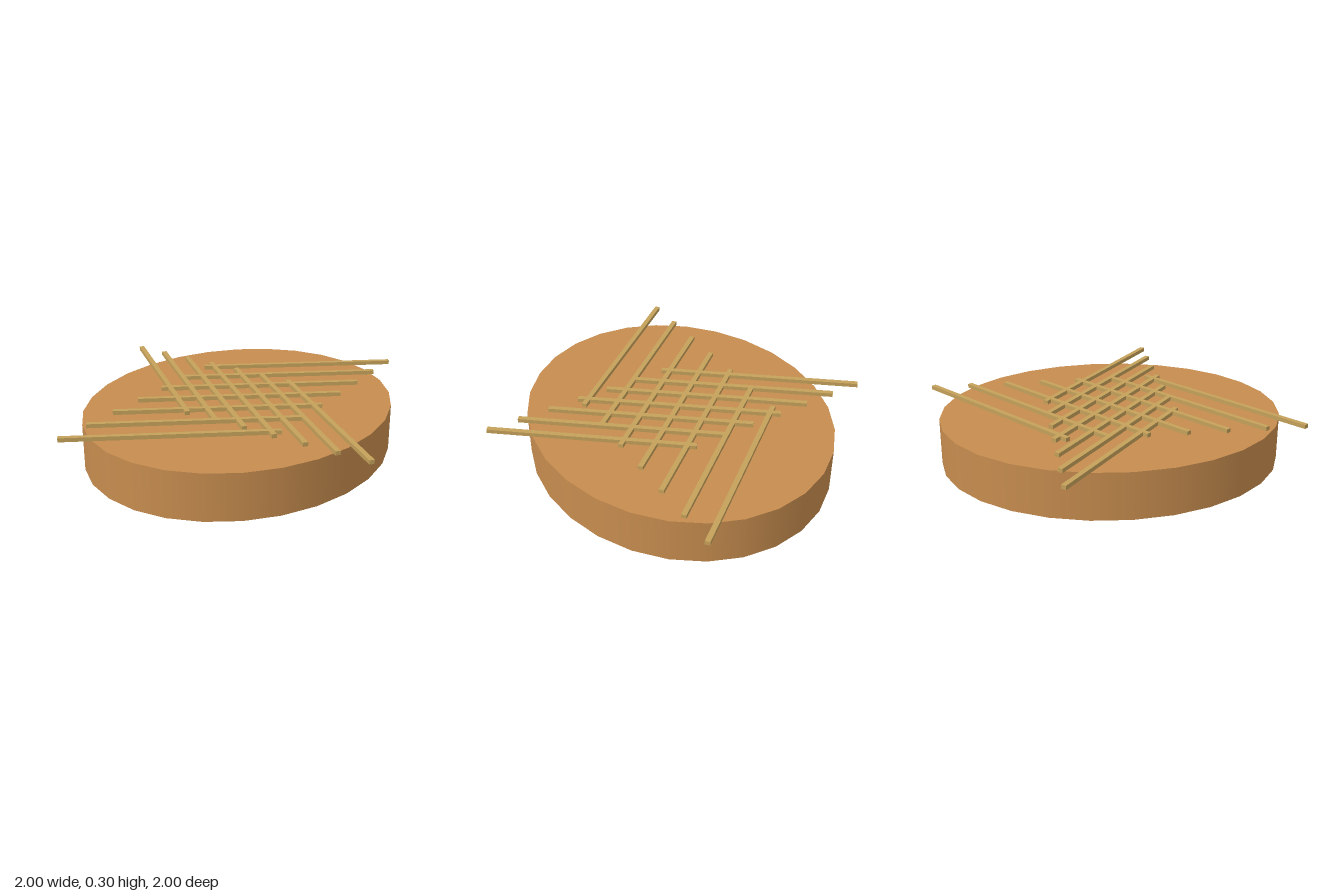
import * as THREE from 'three';

export function createModel() {
  const model = new THREE.Group();
  model.name = 'latticePie';

  const crust = new THREE.MeshStandardMaterial({ color: 0xc68c4e });
  crust.name = 'baked crust';
  const pastry = new THREE.MeshStandardMaterial({ color: 0xc4a05a });
  pastry.name = 'pale pastry';

  // Oval base, a 28-sided drum stretched front to back
  const height = 0.26;
  const baseGeometry = new THREE.CylinderGeometry(1, 1, height, 28);
  baseGeometry.scale(0.815, 1, 0.947);
  const base = new THREE.Mesh(baseGeometry, crust);
  base.name = 'base';
  base.position.y = height / 2;
  model.add(base);

  // Lattice: two crossing sets of seven strips just above the base
  const lattice = new THREE.Group();
  lattice.name = 'lattice';
  const halfX = 0.4445, halfZ = 0.354;
  const angle = Math.atan2(halfZ, halfX);
  const stripGeometry = new THREE.BoxGeometry(2 * Math.hypot(halfX, halfZ), 0.022, 0.028);

  function addStrip(name, x, z, turn) {
    const strip = new THREE.Mesh(stripGeometry, pastry);
    strip.name = name;
    strip.position.set(x, 0.289, z);
    strip.rotation.y = turn;
    lattice.add(strip);
  }
  for (let i = -3; i <= 3; i++) {
    addStrip('risingStrip', 0, i * 0.2117, angle);
    addStrip('fallingStrip', i * 0.182, 0, -angle);
  }
  model.add(lattice);

  return model;
}
